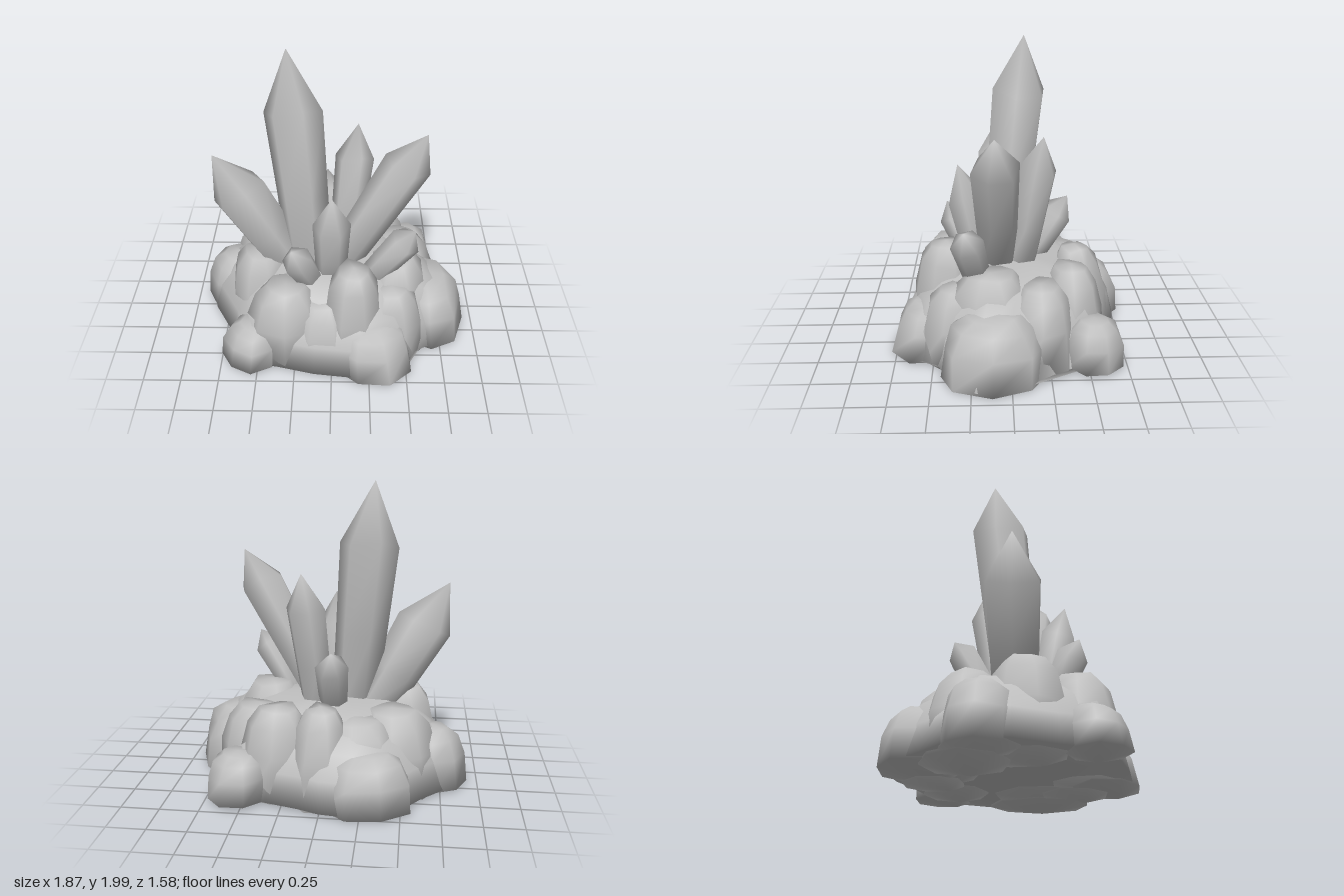
import * as THREE from 'three';

const stone = new THREE.MeshStandardMaterial({ color: 0xbfbfbf });
stone.name = 'paleGreyStone';

// Small repeatable random source for the irregularities
function seeded(seed) {
  let s = seed * 7919 + 17;
  return () => ((s = (s * 16807) % 2147483647) / 2147483647);
}

// Smooth skin over rings of [x, y, z] points, closed by a tip and a flat floor
function loft(rings, tip) {
  const n = rings[0].length;
  const points = [...rings.flat(), tip];
  const index = [];
  const top = rings.length * n;
  rings.forEach((ring, r) => {
    for (let i = 0; i < n; i++) {
      const a = r * n + i, b = r * n + (i + 1) % n;
      if (r === rings.length - 1) index.push(a, top, b);
      else index.push(a, a + n, b, b, a + n, b + n);
    }
  });
  for (let i = 1; i < n - 1; i++) index.push(0, i, i + 1);
  const geometry = new THREE.BufferGeometry();
  geometry.setAttribute('position', new THREE.Float32BufferAttribute(points.flat(), 3));
  geometry.setIndex(index);
  geometry.computeVertexNormals();
  return geometry;
}

// Six-sided crystal from base to tip, widening slightly up to its shoulder
function crystal(name, base, tip, radius, point, turn) {
  const from = new THREE.Vector3(...base);
  const axis = new THREE.Vector3(...tip).sub(from);
  const length = axis.length();
  const rand = seeded(Math.round(length * 1000));
  const levels = [[0, 0.8], [(length - point) * 0.5, 0.9], [length - point, 1]];
  const uneven = Array.from({ length: 6 }, () => (rand() - 0.5) * point * 0.22);
  const rings = levels.map(([y, w], r) => uneven.map((d, i) => {
    const a = turn + i * Math.PI / 3;
    return [Math.cos(a) * radius * w, y + (r === 2 ? d : 0), Math.sin(a) * radius * w];
  }));
  const mesh = new THREE.Mesh(loft(rings, [0, length, 0]), stone);
  mesh.name = name;
  mesh.position.copy(from);
  mesh.quaternion.setFromUnitVectors(new THREE.Vector3(0, 1, 0), axis.normalize());
  return mesh;
}

// Blocky boulder with a blunt top, leaning toward the middle of the cluster
function boulder(name, x, z, rx, rz, height, seed, lean) {
  const rand = seeded(seed);
  const n = 8;
  const bumps = Array.from({ length: n }, () => 0.95 + rand() * 0.12);
  const floor = 0.005 + rand() * 0.025;
  const levels = [[0, 1], [0.5, 0.96], [0.82, 0.8], [0.98, 0.5]];
  const rings = levels.map(([t, w], r) => bumps.map((bump, i) => {
    const a = (i + 0.5 * (seed % 2)) * Math.PI * 2 / n;
    const k = w * bump * (r ? 0.95 + rand() * 0.1 : 1);
    const y = floor + t * (height - floor) * (r ? 0.96 + rand() * 0.06 : 1);
    return [Math.cos(a) * rx * k - x * lean * t, y, Math.sin(a) * rz * k - z * lean * t];
  }));
  const mesh = new THREE.Mesh(loft(rings, [-x * lean, height, -z * lean]), stone);
  mesh.name = name;
  mesh.position.set(x, 0, z);
  return mesh;
}

// Central mound following the irregular footprint of the rock bed
function mound() {
  const outline = [
    [0.88, -0.02], [0.91, 0.22], [0.8, 0.36], [0.57, 0.48], [0.5, 0.64], [0.22, 0.74],
    [-0.12, 0.7], [-0.36, 0.64], [-0.6, 0.6], [-0.7, 0.32], [-0.85, 0.05], [-0.88, -0.22],
    [-0.62, -0.48], [-0.48, -0.66], [-0.25, -0.77], [0.0, -0.74], [0.13, -0.69],
    [0.35, -0.63], [0.6, -0.57], [0.66, -0.35],
  ];
  const levels = [[0.025, 1], [0.22, 0.94], [0.37, 0.83], [0.48, 0.68], [0.55, 0.45]];
  const rings = levels.map(([y, w]) => outline.map(([x, z]) => [x * w, y, z * w]));
  const mesh = new THREE.Mesh(loft(rings, [0, 0.57, 0]), stone);
  mesh.name = 'rockMound';
  return mesh;
}

export function createModel() {
  const model = new THREE.Group();
  model.name = 'crystalCluster';

  // Crystals: name, base, tip, radius, point length, turn
  const crystals = new THREE.Group();
  crystals.name = 'crystals';
  [
    ['mainCrystal', [-0.15, 0.4, 0.05], [-0.29, 2.0, -0.11], 0.193, 0.38, 0.1],
    ['leftCrystal', [-0.26, 0.4, 0.03], [-0.78, 1.33, 0.05], 0.187, 0.31, 0],
    ['rightCrystal', [0.05, 0.48, 0.07], [0.6, 1.52, 0.1], 0.155, 0.25, 0.3],
    ['backRightCrystal', [0.07, 0.4, -0.06], [0.17, 1.42, -0.22], 0.132, 0.22, 0.2],
    ['frontCrystal', [-0.01, 0.4, 0.18], [0.0, 1.19, 0.34], 0.125, 0.24, 0.05],
    ['smallRightCrystal', [0.24, 0.43, 0.2], [0.54, 0.91, 0.29], 0.108, 0.11, 0.4],
    ['smallLeftCrystal', [-0.12, 0.4, 0.22], [-0.26, 0.84, 0.43], 0.105, 0.12, 0.2],
    ['smallBackCrystal', [-0.03, 0.4, -0.08], [-0.04, 0.95, -0.4], 0.108, 0.13, 0],
  ].forEach((c) => crystals.add(crystal(...c)));

  // Rocks: name, x, z, half width, half depth, height, seed, lean
  const rocks = new THREE.Group();
  rocks.name = 'rocks';
  rocks.add(mound());
  [
    ['frontTallRock', 0.15, 0.44, 0.21, 0.22, 0.71, 3, 0.05],
    ['frontLeftRock', -0.31, 0.41, 0.25, 0.24, 0.56, 4, 0.02],
    ['frontLowRock', 0.28, 0.57, 0.28, 0.23, 0.35, 5, 0.1],
    ['frontLeftLowRock', -0.54, 0.51, 0.2, 0.19, 0.3, 6, 0.05],
    ['frontMiddleRock', -0.07, 0.5, 0.24, 0.2, 0.47, 7, 0.1],
    ['leftLowRock', -0.72, -0.14, 0.2, 0.22, 0.41, 8, 0.05],
    ['leftTallRock', -0.5, 0.1, 0.22, 0.26, 0.61, 9, 0.02],
    ['leftBackRock', -0.45, -0.25, 0.28, 0.27, 0.55, 10, 0.05],
    ['backLeftRock', -0.28, -0.55, 0.29, 0.25, 0.38, 11, 0.03],
    ['backInnerRock', -0.2, -0.42, 0.3, 0.24, 0.53, 12, 0.08],
    ['backTallRock', 0.02, -0.51, 0.19, 0.19, 0.62, 13, 0.12],
    ['backRightRock', 0.32, -0.42, 0.23, 0.21, 0.6, 14, 0.05],
    ['backRightLowRock', 0.55, -0.54, 0.19, 0.18, 0.33, 15, 0.02],
    ['rightLowRock', 0.69, 0.12, 0.235, 0.34, 0.43, 16, 0.06],
    ['rightTallRock', 0.44, 0.13, 0.26, 0.3, 0.6, 17, 0.02],
    ['rightBackRock', 0.5, -0.2, 0.25, 0.23, 0.54, 18, 0.05],
    ['rightFrontRock', 0.42, 0.36, 0.22, 0.22, 0.5, 19, 0.05],
  ].forEach((r) => rocks.add(boulder(...r)));

  model.add(rocks, crystals);
  return model;
}
